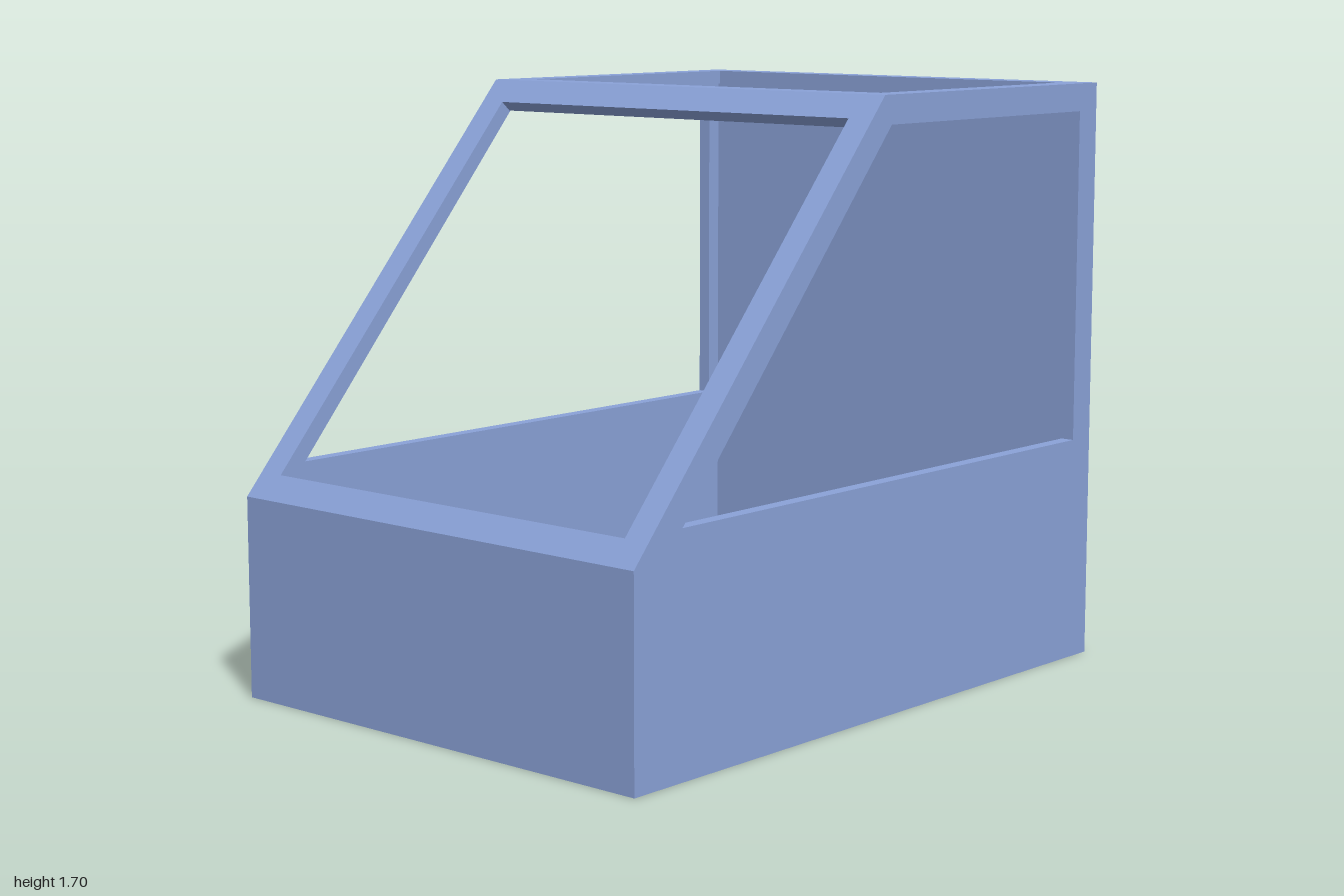
import * as THREE from 'three';

// Half widths: outer skin, inner skin, edge of the roof and windscreen openings
const OUTER = 0.73, INNER = 0.69, OPENING = 0.65;

// Side profiles as [z, y] points
const outerProfile = [[1, 0], [1, 0.575], [0.01, 1.7], [-1, 1.7], [-1, 0]];
const innerProfile = [[0.96, 0.04], [0.96, 0.56], [-0.008, 1.66], [-0.96, 1.66], [-0.96, 0.04]];
const sideWindow = [[0.82, 0.655], [-0.02, 1.62], [-0.915, 1.62], [-0.915, 0.655]];

// Shell section interrupted by the windscreen and roof openings
const tubSection = [
  [0.945, 0.6375], [1, 0.575], [1, 0], [-1, 0], [-1, 1.7], [-0.92, 1.7],
  [-0.92, 1.66], [-0.96, 1.66], [-0.96, 0.04], [0.96, 0.04], [0.96, 0.56], [0.915, 0.611],
];
const headerSection = [
  [0.065, 1.6375], [0.01, 1.7], [-0.075, 1.7], [-0.075, 1.66], [-0.008, 1.66], [0.035, 1.611],
];

const toPoints = (list) => list.map(([z, y]) => new THREE.Vector2(z, y));

export function createModel() {
  const group = new THREE.Group();
  const material = new THREE.MeshStandardMaterial({ color: 0x8aa2d8 });

  // Extrudes a [z, y] section along x, from x0 to x1
  function addSection(name, section, x0, x1, hole) {
    const shape = new THREE.Shape(toPoints(section));
    if (hole) shape.holes.push(new THREE.Path(toPoints(hole)));
    const geometry = new THREE.ExtrudeGeometry(shape, { depth: x1 - x0, bevelEnabled: false });
    geometry.rotateY(-Math.PI / 2).translate(x1, 0, 0);
    const mesh = new THREE.Mesh(geometry, material);
    mesh.name = name;
    group.add(mesh);
  }

  // Side walls with windows, and the rails beside the openings
  addSection('leftWall', outerProfile, INNER, OUTER, sideWindow);
  addSection('rightWall', outerProfile, -OUTER, -INNER, sideWindow);
  addSection('leftRail', outerProfile, OPENING, INNER, innerProfile);
  addSection('rightRail', outerProfile, -INNER, -OPENING, innerProfile);

  // Front, floor, back and rear roof rail in one piece
  addSection('cabTub', tubSection, -OPENING, OPENING);

  // Crossbar between windscreen and roof openings
  addSection('windscreenHeader', headerSection, -OPENING, OPENING);

  return group;
}
